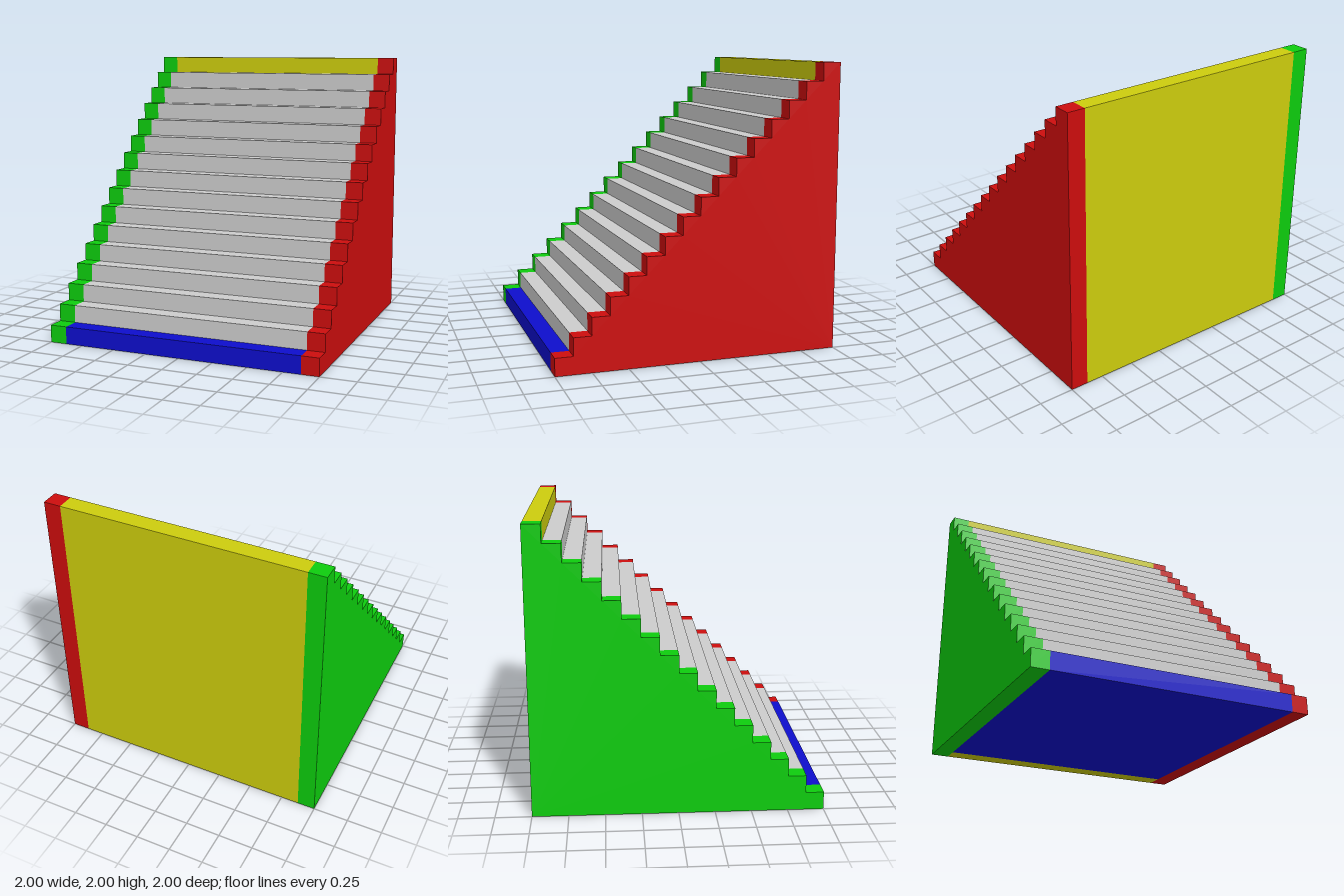
import * as THREE from 'three';

const STEP = 0.125; // rise and run of each step, also the wall thickness

// Stepped solid: profile in (z, y), extruded along x
function stairSolid(frontZ, baseY, steps, x0, x1) {
  const shape = new THREE.Shape();
  shape.moveTo(frontZ, baseY);
  for (let i = 0; i < steps; i++) {
    const z = frontZ - i * STEP;
    const y = baseY + (i + 1) * STEP;
    shape.lineTo(z, y);
    shape.lineTo(z - STEP, y);
  }
  shape.lineTo(frontZ - steps * STEP, baseY);
  shape.closePath();
  const geo = new THREE.ExtrudeGeometry(shape, { depth: x1 - x0, bevelEnabled: false });
  geo.rotateY(-Math.PI / 2); // profile x becomes z, depth runs towards -x
  geo.translate(x1, 0, 0);
  return geo;
}

export function createModel() {
  const group = new THREE.Group();
  group.name = 'staircase';

  const material = (name, color) => {
    const m = new THREE.MeshStandardMaterial({ color });
    m.name = name;
    return m;
  };
  const red = material('red', 0xcc0d0d);
  const green = material('green', 0x0dcc0d);
  const blue = material('blue', 0x0d0dcc);
  const yellow = material('yellow', 0xcccc0d);
  const grey = material('grey', 0xcccccc);

  const add = (name, geo, mat) => {
    const mesh = new THREE.Mesh(geo, mat);
    mesh.name = name;
    group.add(mesh);
    return mesh;
  };

  const inner = 1 - STEP; // inside face of the side walls

  // Stepped side walls
  add('leftWall', stairSolid(1, 0, 16, inner, 1), red);
  add('rightWall', stairSolid(1, 0, 16, -1, -inner), green);

  // Grey treads between the walls
  add('steps', stairSolid(inner, STEP, 14, -inner, inner), grey);

  // Bottom slab, whose front edge is the first step
  add('baseSlab', new THREE.BoxGeometry(2 * inner, STEP, 2 - STEP), blue)
    .position.set(0, STEP / 2, STEP / 2);

  // Back slab, whose top edge is the last step
  add('backSlab', new THREE.BoxGeometry(2 * inner, 2, STEP), yellow)
    .position.set(0, 1, -1 + STEP / 2);

  return group;
}
